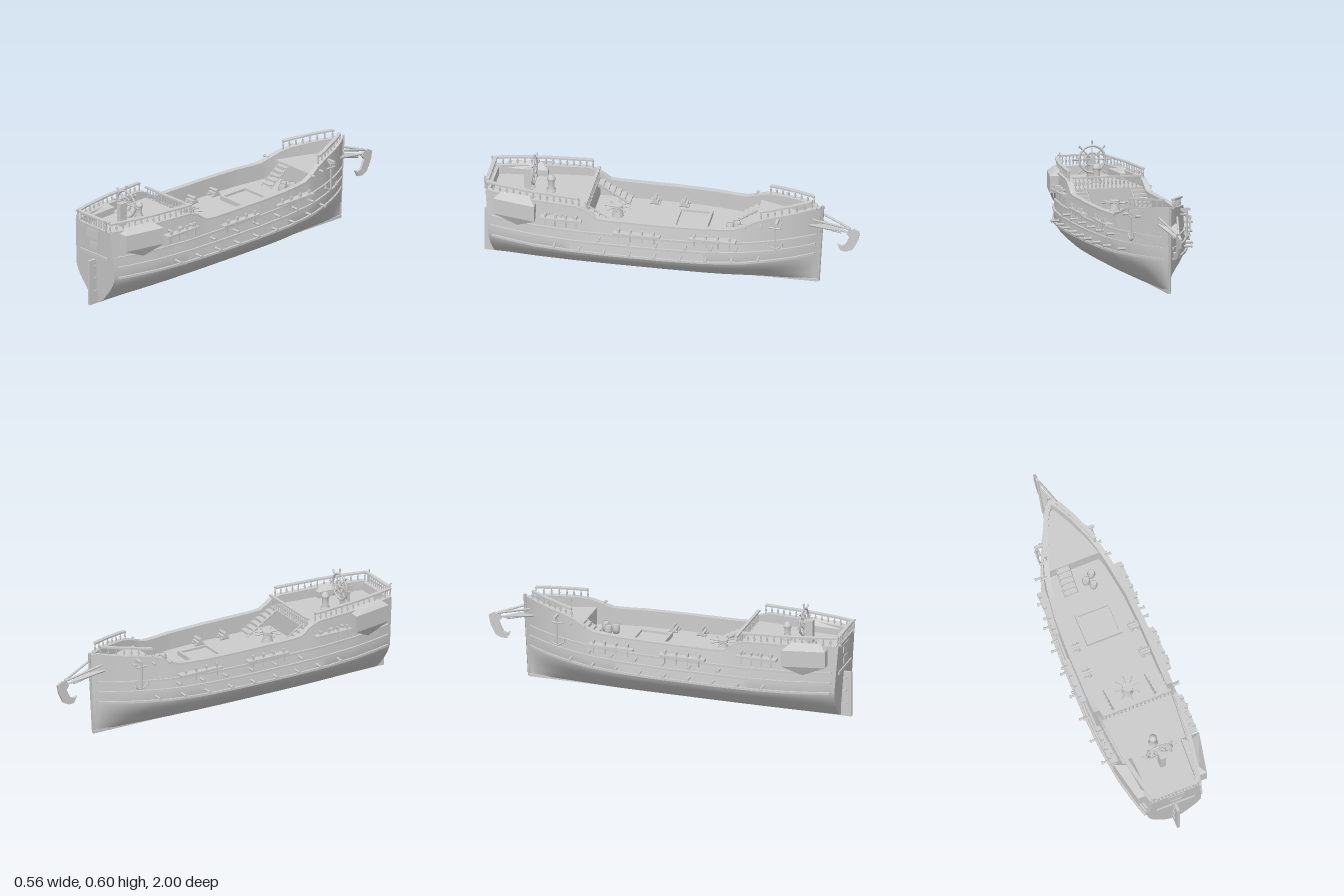
import * as THREE from 'three';
import { toCreasedNormals } from 'three/addons/utils/BufferGeometryUtils.js';
import { ConvexGeometry } from 'three/addons/geometries/ConvexGeometry.js';

const V = (x, y, z) => new THREE.Vector3(x, y, z);

// piecewise linear lookup in rows of [key, value, ...]
function lookup(rows, k, col = 1) {
  if (k <= rows[0][0]) return rows[0][col];
  for (let i = 1; i < rows.length; i++) {
    const a = rows[i - 1], b = rows[i];
    if (k <= b[0]) return a[col] + (b[col] - a[col]) * (k - a[0]) / (b[0] - a[0]);
  }
  return rows[rows.length - 1][col];
}
// z, half breadth at the top edge, half breadth at the waterline
const BREADTH = [[-0.78, 0.005, 0.005], [-0.73, 0.045, 0.042], [-0.65, 0.088, 0.092], [-0.55, 0.131, 0.14],
  [-0.4, 0.178, 0.195], [-0.2, 0.206, 0.227], [0, 0.215, 0.238], [0.3, 0.216, 0.24], [0.5, 0.21, 0.233],
  [0.7, 0.19, 0.21], [0.85, 0.16, 0.175], [0.94, 0.135, 0.147]];
const SHEER = [[-0.78, 0.45], [-0.5, 0.42], [-0.43, 0.39], [-0.36, 0.365], [0.36, 0.368], [0.45, 0.432], [0.94, 0.437]];
const FULLNESS = [[0.01, 0.15], [0.03, 0.34], [0.055, 0.49], [0.08, 0.63], [0.105, 0.76], [0.13, 0.87], [0.155, 0.95], [0.18, 1]];
const topY = z => lookup(SHEER, z);
function half(z, y) {
  const wm = lookup(BREADTH, z, 2), wt = lookup(BREADTH, z, 1);
  if (y <= 0.2) return wm * Math.pow(lookup(FULLNESS, y), z < -0.3 ? 1 - (z + 0.3) * 0.8 : 1);
  return wm + (wt - wm) * Math.min(1, (y - 0.2) / (topY(z) - 0.2));
}
// both ends lean outwards towards the top
const rake = (z, y) => z + Math.sign(z) * Math.max(0, (Math.abs(z) - 0.6) / 0.34) * (z > 0 ? 0.07 : 0.06) * (y - 0.01);

// skins a row of closed rings, running from bow to stern, and caps both ends
function loft(rings) {
  const n = rings[0].length, pos = [];
  const tri = (...p) => p.forEach(v => pos.push(v.x, v.y, v.z));
  for (let s = 0; s < rings.length - 1; s++) for (let i = 0; i < n; i++) {
    const j = (i + 1) % n, a = rings[s], b = rings[s + 1];
    tri(a[i], a[j], b[j]); tri(a[i], b[j], b[i]);
  }
  const f = rings[0], l = rings[rings.length - 1];
  for (let i = 0; i < n / 2 - 1; i++) {
    const j = n - 1 - i;
    tri(l[i], l[i + 1], l[j - 1]); tri(l[i], l[j - 1], l[j]);
    tri(f[i], f[j - 1], f[i + 1]); tri(f[i], f[j], f[j - 1]);
  }
  const g = new THREE.BufferGeometry();
  g.setAttribute('position', new THREE.Float32BufferAttribute(pos, 3));
  return toCreasedNormals(g, 0.5);
}

export function createModel() {
  const ship = new THREE.Group();
  ship.name = 'sailingShip';
  const grey = new THREE.MeshStandardMaterial({ color: 0xcccccc, side: THREE.DoubleSide });
  grey.name = 'plain grey';
  const add = (name, geo, x = 0, y = 0, z = 0) => {
    const m = new THREE.Mesh(geo, grey);
    m.name = name; m.position.set(x, y, z); ship.add(m);
    return m;
  };
  const box = (name, w, h, d, x, y, z) => add(name, new THREE.BoxGeometry(w, h, d), x, y, z);
  const bar = (name, a, b, r, r2 = r, sides = 8) => {
    const d = b.clone().sub(a), m = add(name, new THREE.CylinderGeometry(r2, r, d.length(), sides));
    m.position.copy(a).addScaledVector(d, 0.5);
    m.quaternion.setFromUnitVectors(V(0, 1, 0), d.normalize());
    return m;
  };

  // hull with bulwarks and three deck levels
  const POOP = 0.39, MAIN = 0.28, FORE = 0.375;
  const section = (z, deck) => {
    const top = topY(z), wt = half(z, top), inner = Math.max(0.002, wt - 0.022);
    const side = [...FULLNESS.map(r => r[0]), 0.24, 0.3, top].map(y => [half(z, y), y]);
    side.push([inner, top], [inner, deck ?? top]);
    const ring = side.map(([x, y]) => V(x, y, rake(z, y)));
    return [...ring, ...ring.map(p => V(-p.x, p.y, p.z)).reverse()];
  };
  const rings = [section(-0.78), section(-0.75), section(-0.75, FORE)];
  const run = (z0, z1, n, deck) => { for (let i = 0; i <= n; i++) rings.push(section(z0 + (z1 - z0) * i / n, deck)); };
  run(-0.74, -0.45, 12, FORE);
  run(-0.45, 0.42, 32, MAIN);
  run(0.42, 0.92, 18, POOP);
  rings.push(section(0.92), section(0.94));
  add('hull', loft(rings));
  box('keel', 0.016, 0.016, 1.72, 0, 0.008, 0.08);
  bar('stemPost', V(0, 0.005, -0.778), V(0, 0.46, -0.803), 0.008, 0.008, 4);

  // square strips that follow the hull side, on both sides
  const strip = (name, z0, z1, yAt, xAt, w, h) => {
    const rr = [], n = 30;
    for (let i = 0; i <= n; i++) {
      const z = z0 + (z1 - z0) * i / n, y = yAt(z), x = xAt(z, y), zz = rake(z, y);
      rr.push([V(x, y - h / 2, zz), V(x + w, y - h / 2, zz), V(x + w, y + h / 2, zz), V(x, y + h / 2, zz)]);
    }
    const geo = loft(rr);
    for (const s of [1, -1]) add(name, geo).scale.x = s;
  };
  for (const y of [0.181, 0.238, 0.294]) strip('wale', -0.76, 0.92, () => y, (z, yy) => half(z, yy) - 0.004, 0.014, 0.011);
  strip('bulwarkCap', -0.76, 0.93, z => topY(z) + 0.002, (z, y) => half(z, y) - 0.024, 0.03, 0.009);

  // railings with turned balusters
  const balusterGeo = h => new THREE.LatheGeometry([[0.005, 0], [0.003, 0.2], [0.0055, 0.45], [0.0025, 0.8], [0.005, 1]]
    .map(([r, t]) => new THREE.Vector2(r, t * h)), 6);
  const baluster = balusterGeo(0.045);
  const railing = (z0, z1, n) => {
    strip('handrail', z0, z1, z => topY(z) + 0.048, (z, y) => half(z, y) - 0.021, 0.022, 0.009);
    for (let i = 0; i <= n; i++) for (const s of [1, -1]) {
      const z = z0 + (z1 - z0) * i / n, y = topY(z);
      add('baluster', baluster, s * (half(z, y) - 0.01), y, rake(z, y));
    }
  };
  railing(0.46, 0.935, 14);
  railing(-0.74, -0.5, 7);
  box('sternHandrail', 0.24, 0.009, 0.02, 0, 0.49, 0.965);
  for (let i = -5; i <= 5; i++) add('sternBaluster', baluster, i * 0.0195, 0.44, 0.965);
  box('breakHandrail', 0.38, 0.009, 0.016, 0, 0.45, 0.425);
  for (let i = -8; i <= 8; i++) add('breakBaluster', balusterGeo(0.06), i * 0.022, POOP, 0.425);

  // transom details and rudder
  box('upperSternPanel', 0.092, 0.048, 0.012, 0, 0.396, 0.966);
  box('lowerSternPanel', 0.062, 0.04, 0.012, 0, 0.326, 0.961);
  box('sternLedge', 0.213, 0.016, 0.016, 0, 0.278, 0.958);
  box('rudder', 0.014, 0.25, 0.058, 0, 0.125, 0.971);
  for (const y of [0.072, 0.147, 0.215]) box('rudderHinge', 0.024, 0.008, 0.035, 0, y, 0.955);

  // guns along the hull
  const gun = (s, y, z, len = 0.042) => {
    const x = half(z, y), p = t => V(s * (x + t), y, z);
    bar('gun', p(-0.01), p(len), 0.0075, 0.0055);
    bar('gunMuzzle', p(len - 0.008), p(len), 0.0085);
  };
  for (const s of [1, -1]) {
    for (let i = 0; i < 9; i++) gun(s, 0.205, 0.585 - i * 0.1345);
    for (const z of [0.345, 0.185, 0.04, -0.115, -0.25, -0.38]) gun(s, 0.27, z);
    for (const z of [0.62, 0.55, 0.48, -0.42, -0.5, -0.6]) gun(s, z > 0 ? 0.38 : 0.39, z, 0.025);

    // channels with rigging blocks
    for (const [z0, z1, y] of [[0.02, 0.27, 0.315], [-0.38, -0.13, 0.315], [0.44, 0.66, 0.36]]) {
      const zm = (z0 + z1) / 2, x = half(zm, y);
      box('channel', 0.045, 0.012, z1 - z0, s * (x + 0.012), y, zm);
      for (let i = 0; i < 4; i++) {
        const z = z0 + (z1 - z0) * (i + 0.5) / 4, px = s * (x + 0.026);
        bar('chainPlate', V(px, y - 0.04, z), V(px, y + 0.025, z), 0.0035, 0.0035, 6);
        box('riggingBlock', 0.016, 0.018, 0.01, px, y + 0.022, z);
      }
    }

    // quarter gallery
    const pts = [V(0.18, 0.455, 0.73), V(0.165, 0.455, 0.88), V(0.195, 0.28, 0.79), V(0.15, 0.29, 0.79)];
    for (const y of [0.335, 0.425]) pts.push(V(0.242, y, 0.69), V(0.195, y, 0.915), V(0.14, y, 0.69), V(0.13, y, 0.915));
    add('quarterGallery', new ConvexGeometry(pts.map(p => V(p.x * s, p.y, p.z))));
    bar('sternPost', V(s * 0.107, 0.43, 0.975), V(s * 0.107, 0.505, 0.98), 0.004);

    // cathead and anchor
    const ax = s * 0.152;
    box('cathead', 0.075, 0.014, 0.014, s * 0.13, 0.415, -0.585);
    bar('anchorShank', V(ax, 0.262, -0.575), V(ax, 0.41, -0.575), 0.005);
    bar('anchorStock', V(ax, 0.385, -0.605), V(ax, 0.385, -0.545), 0.005);
    const arms = add('anchorArms', new THREE.TorusGeometry(0.04, 0.005, 6, 12, Math.PI * 0.8), ax, 0.302, -0.575);
    arms.rotation.set(0, Math.PI / 2, 0);
    arms.geometry.rotateZ(Math.PI * 1.1);
    for (const t of [1, -1]) bar('anchorFluke', V(ax, 0.278, -0.575 + t * 0.036), V(ax, 0.305, -0.575 + t * 0.04), 0.01, 0.001, 4);

    // beakhead rails
    bar('upperBeakRail', V(s * 0.05, 0.4, -0.755), V(s * 0.004, 0.335, -0.95), 0.006);
    bar('lowerBeakRail', V(s * 0.04, 0.36, -0.76), V(s * 0.004, 0.31, -0.9), 0.005);

    // stairs to the poop
    for (let i = 0; i < 6; i++) box('poopStep', 0.075, 0.01, 0.03, s * 0.158, MAIN + 0.012 + i * 0.016, 0.26 + i * 0.029);
    for (const e of [-0.038, 0.038]) bar('stairSide', V(s * 0.158 + e, MAIN, 0.24), V(s * 0.158 + e, POOP, 0.42), 0.006, 0.006, 4);

    // deck guns on carriages
    for (const z of [-0.035, 0.12]) {
      box('gunCarriage', 0.055, 0.016, 0.036, s * 0.168, MAIN + 0.016, z);
      bar('deckGun', V(s * 0.135, MAIN + 0.035, z), V(s * 0.2, MAIN + 0.035, z), 0.011, 0.008);
      for (const dx of [-0.018, 0.018]) bar('carriageAxle', V(s * 0.168 + dx, MAIN + 0.008, z - 0.026), V(s * 0.168 + dx, MAIN + 0.008, z + 0.026), 0.008);
    }
  }

  // beakhead platform and curled figurehead
  add('beakPlatform', new ConvexGeometry([V(0.055, 0.365, -0.74), V(-0.055, 0.365, -0.74), V(0, 0.315, -0.94),
    V(0.05, 0.357, -0.74), V(-0.05, 0.357, -0.74), V(0, 0.308, -0.94)]));
  const curl = new THREE.Shape([[-0.94, 0.327], [-0.97, 0.335], [-1, 0.318], [-0.99, 0.268], [-0.962, 0.213], [-0.93, 0.198],
    [-0.9, 0.2], [-0.88, 0.236], [-0.9, 0.228], [-0.922, 0.236], [-0.945, 0.285], [-0.93, 0.305]].map(p => new THREE.Vector2(...p)));
  add('figurehead', new THREE.ExtrudeGeometry(curl, { depth: 0.014, bevelEnabled: false }).rotateY(-Math.PI / 2), 0.007);

  // steering wheel
  const wy = 0.5, wz = 0.735;
  add('wheelRim', new THREE.TorusGeometry(0.07, 0.006, 8, 32), 0, wy, wz);
  add('wheelInnerRing', new THREE.TorusGeometry(0.034, 0.004, 8, 24), 0, wy, wz);
  bar('wheelHub', V(0, wy, wz - 0.012), V(0, wy, wz + 0.03), 0.013, 0.013, 12);
  for (let i = 0; i < 8; i++) {
    const a = i * Math.PI / 4, p = r => V(Math.sin(a) * r, wy + Math.cos(a) * r, wz);
    bar('wheelSpoke', p(0.008), p(0.078), 0.0035);
    bar('wheelHandle', p(0.074), p(0.1), 0.003, 0.006);
  }
  box('wheelPedestal', 0.03, 0.125, 0.04, 0, POOP + 0.062, 0.768);

  // binnacle on the poop
  add('binnacle', new THREE.LatheGeometry([[0.026, 0], [0.026, 0.012], [0.018, 0.018], [0.016, 0.065], [0.022, 0.07], [0.022, 0.08],
    [0.012, 0.095], [0, 0.1]].map(p => new THREE.Vector2(...p)), 12), 0, POOP, 0.645);

  // capstan with eight bars
  bar('capstan', V(0, MAIN, 0.29), V(0, MAIN + 0.05, 0.29), 0.032, 0.02, 12);
  bar('capstanHead', V(0, MAIN + 0.045, 0.29), V(0, MAIN + 0.065, 0.29), 0.027, 0.027, 12);
  for (let i = 0; i < 8; i++) {
    const a = i * Math.PI / 4;
    bar('capstanBar', V(0, MAIN + 0.055, 0.29), V(Math.sin(a) * 0.07, MAIN + 0.055, 0.29 + Math.cos(a) * 0.07), 0.004);
  }

  // cargo hatch
  box('hatchCover', 0.17, 0.012, 0.15, 0, MAIN + 0.006, -0.11);
  for (const s of [1, -1]) {
    box('hatchCoaming', 0.014, 0.024, 0.18, s * 0.092, MAIN + 0.012, -0.11);
    box('hatchCoaming', 0.19, 0.024, 0.014, 0, MAIN + 0.012, -0.11 + s * 0.083);
  }

  // barrels and forecastle steps
  const barrel = new THREE.LatheGeometry([[0, 0], [0.017, 0], [0.022, 0.025], [0.017, 0.05], [0.016, 0.046], [0, 0.046]]
    .map(p => new THREE.Vector2(...p)), 12);
  for (const [x, z] of [[0.028, -0.352], [0.068, -0.378], [0.056, -0.318]]) add('barrel', barrel, x, MAIN, z);
  for (let i = 0; i < 5; i++) box('forecastleStep', 0.065, 0.01, 0.026, -0.068, MAIN + 0.014 + i * 0.017, -0.33 - i * 0.026);
  for (const x of [-0.102, -0.034]) bar('stairSide', V(x, MAIN, -0.315), V(x, FORE, -0.45), 0.005, 0.005, 4);

  return ship;
}
